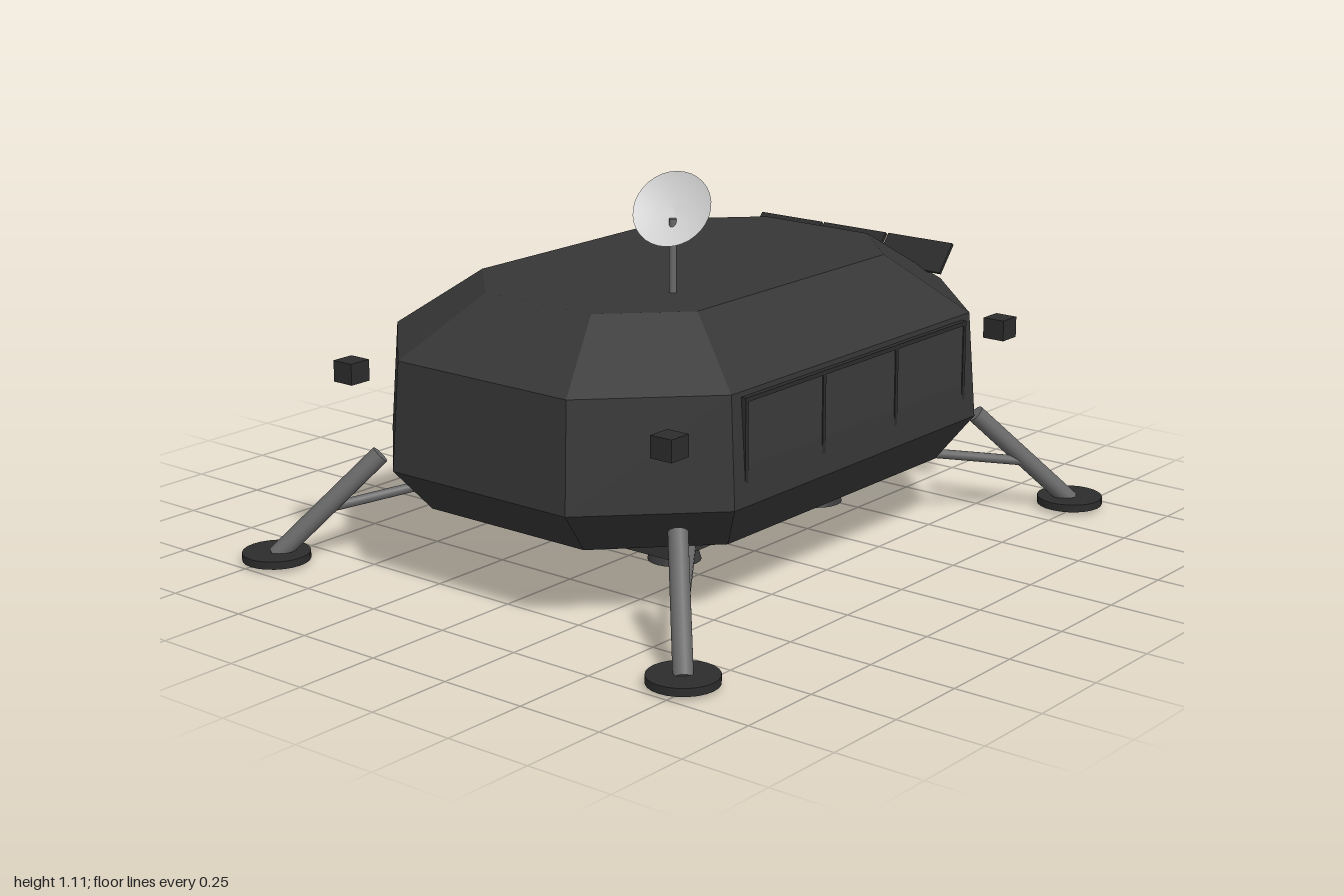
import * as THREE from 'three';

const mat = (name, color, opts = {}) => {
  const m = new THREE.MeshStandardMaterial({ color, ...opts });
  m.name = name;
  return m;
};

export function createModel() {
  const root = new THREE.Group();
  root.name = 'landerHabitat';

  const hullGrey = mat('hull grey', 0x363636, { flatShading: true });
  const darkGrey = mat('dark grey', 0x2c2c2c);
  const doorBlack = mat('door black', 0x202020);
  const panelGrey = mat('panel grey', 0x3a3a3a);
  const strutGrey = mat('strut grey', 0x686868);
  const dishWhite = mat('dish white', 0xd0d0d0, { side: THREE.DoubleSide });
  const handleGrey = mat('handle grey', 0xa8a8a8);

  const add = (name, geo, material, x = 0, y = 0, z = 0) => {
    const m = new THREE.Mesh(geo, material);
    m.name = name;
    m.position.set(x, y, z);
    root.add(m);
    return m;
  };
  const box = (name, material, w, h, d, x, y, z) =>
    add(name, new THREE.BoxGeometry(w, h, d), material, x, y, z);
  // round bar between two points
  const bar = (name, material, a, b, r, sides = 12) => {
    const p = new THREE.Vector3(...a), q = new THREE.Vector3(...b);
    const dir = q.clone().sub(p);
    const m = add(name, new THREE.CylinderGeometry(r, r, dir.length(), sides), material);
    m.position.copy(p).add(q).multiplyScalar(0.5);
    m.quaternion.setFromUnitVectors(new THREE.Vector3(0, 1, 0), dir.normalize());
    return m;
  };

  // Hull: stacked chamfered octagons [y, half width, half length, corner x, corner z]
  const levels = [
    [0.213, 0.53, 0.75, 0.27, 0.48],
    [0.338, 0.61, 0.86, 0.305, 0.555],
    [0.64, 0.59, 0.84, 0.295, 0.545],
    [0.80, 0.38, 0.615, 0.185, 0.42],
  ];
  const rings = levels.map(([y, w, l, cx, cz]) => [
    [w, y, cz], [w, y, -cz], [cx, y, -l], [-cx, y, -l],
    [-w, y, -cz], [-w, y, cz], [-cx, y, l], [cx, y, l],
  ]);
  const pos = [];
  const tri = (...pts) => pts.forEach((p) => pos.push(...p));
  for (let k = 0; k < rings.length - 1; k++) {
    for (let i = 0; i < 8; i++) {
      const j = (i + 1) % 8, lo = rings[k], hi = rings[k + 1];
      tri(lo[i], lo[j], hi[j]);
      tri(lo[i], hi[j], hi[i]);
    }
  }
  const floor = rings[0], roof = rings[rings.length - 1];
  for (let i = 1; i < 7; i++) {
    tri(roof[0], roof[i], roof[i + 1]);
    tri(floor[0], floor[i + 1], floor[i]);
  }
  const hullGeo = new THREE.BufferGeometry();
  hullGeo.setAttribute('position', new THREE.Float32BufferAttribute(pos, 3));
  hullGeo.computeVertexNormals();
  add('hull', hullGeo, hullGrey);

  // Underside deck and four engine bells
  box('lowerDeck', hullGrey, 0.8, 0.06, 1.1, 0, 0.187, 0);
  for (const sx of [-1, 1]) {
    for (const sz of [-1, 1]) {
      add('engineBell', new THREE.CylinderGeometry(0.045, 0.074, 0.095, 20), panelGrey,
        sx * 0.225, 0.113, sz * 0.325);

      // Landing leg: main strut, brace and foot pad
      bar('legStrut', strutGrey, [sx * 0.53, 0.3, sz * 0.685], [sx * 0.725, 0.022, sz * 0.905], 0.027);
      bar('legBrace', strutGrey, [sx * 0.39, 0.22, sz * 0.45], [sx * 0.635, 0.15, sz * 0.795], 0.014);
      add('footPad', new THREE.CylinderGeometry(0.095, 0.095, 0.022, 24), darkGrey,
        sx * 0.725, 0.024, sz * 0.905);

      // Thruster block
      box('thrusterBlock', darkGrey, 0.068, 0.06, 0.068, sx * 0.56, 0.55, sz * 0.755);
    }

    // Side cargo bays: three shallow panels with a frame
    for (let i = -1; i <= 1; i++) {
      box('sidePanel', panelGrey, 0.03, 0.27, 0.325, sx * 0.588, 0.485, i * 0.333);
    }
    for (let i = 0; i < 4; i++) {
      box('panelDivider', darkGrey, 0.03, 0.27, 0.012, sx * 0.591, 0.485, -0.5 + i / 3);
    }
    box('panelTopRail', darkGrey, 0.03, 0.012, 1.012, sx * 0.591, 0.62, 0);
  }

  // Door with handle
  box('door', doorBlack, 0.02, 0.31, 0.26, -0.614, 0.49, 0.1);
  box('doorHandle', handleGrey, 0.014, 0.075, 0.02, -0.63, 0.487, -0.01);

  // Ladder
  for (const z of [0.015, 0.19]) {
    bar('ladderRail', strutGrey, [-0.625, 0.345, z], [-0.697, 0.012, z], 0.007, 8);
  }
  for (const y of [0.09, 0.19, 0.29]) {
    bar('ladderRung', strutGrey, [-0.693, y, 0.015], [-0.693, y, 0.19], 0.006, 8);
  }

  // Rear solar panels, tilted
  for (let i = -1; i <= 1; i++) {
    const p = box('solarPanel', darkGrey, 0.228, 0.1, 0.01, i * 0.237, 0.717, -0.785);
    p.rotation.x = -0.69;
  }

  // Dish antenna on a mast
  bar('antennaMast', strutGrey, [0.2, 0.79, 0.3], [0.2, 1.0, 0.3], 0.01);
  const dishProfile = [[0, -0.016], [0.04, -0.013], [0.08, -0.005], [0.109, 0.006]]
    .map(([x, y]) => new THREE.Vector2(x, y));
  const dish = add('antennaDish', new THREE.LatheGeometry(dishProfile, 32), dishWhite, 0.195, 1.023, 0.295);
  dish.quaternion.setFromUnitVectors(new THREE.Vector3(0, 1, 0),
    new THREE.Vector3(0.25, 0.57, 0.78).normalize());

  return root;
}
